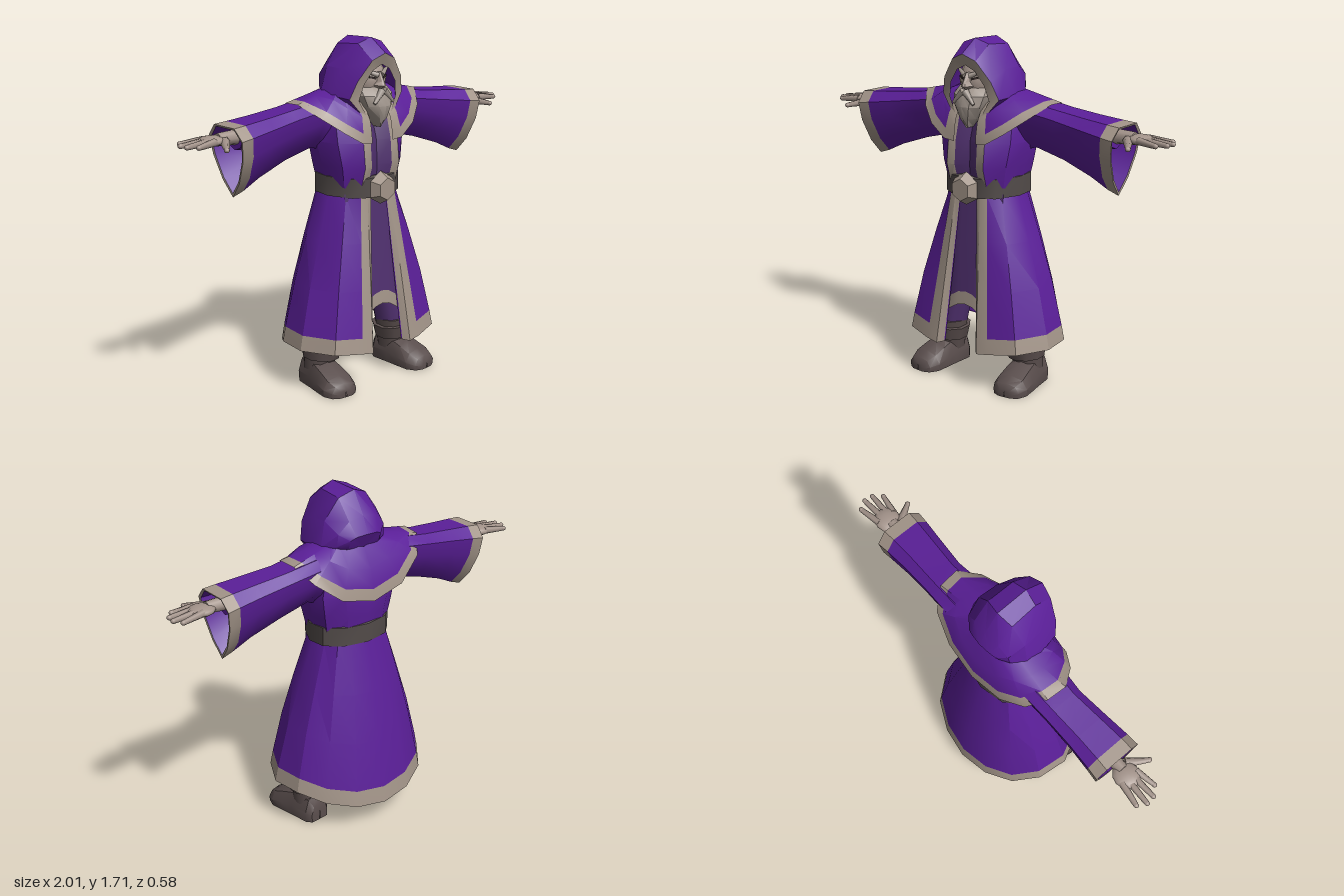
import * as THREE from 'three';
import { toCreasedNormals } from 'three/addons/utils/BufferGeometryUtils.js';

const mat = (name, color) => {
  const m = new THREE.MeshStandardMaterial({ color, side: THREE.DoubleSide });
  m.name = name;
  return m;
};

export function createModel() {
  const model = new THREE.Group();
  model.name = 'hoodedElder';
  const purple = mat('robe purple', 0x5b1f99);
  const trim = mat('trim', 0xa39589);
  const plum = mat('under robe plum', 0x50306f);
  const skin = mat('skin', 0xa4948b);
  const hair = mat('beard', 0xa2978e);
  const belt = mat('belt', 0x524b49);
  const boot = mat('boots', 0x5a4e4d);
  const dark = mat('eyes', 0x3a302e);

  const add = (parent, name, geo, material, pos) => {
    const mesh = new THREE.Mesh(geo, material);
    mesh.name = name;
    if (pos) mesh.position.set(...pos);
    parent.add(mesh);
    return mesh;
  };
  const lerp = (a, b, t) => a.map((v, i) => v + (b[i] - v) * t);
  // mirrors a half section whose last point lies on x = 0
  const full = (half) => [...half, ...half.slice(0, -1).reverse().map(([x, y, z]) => [-x, y, z])];

  // skin over cross-sections; pick(row, column) gives the material of each patch
  function loft(parent, name, rings, pick, crease = 0.6) {
    const buckets = new Map();
    const n = rings[0].length - 1;
    for (let i = 0; i < rings.length - 1; i++) for (let j = 0; j < n; j++) {
      const m = pick(i, Math.min(j, n - 1 - j));
      if (!buckets.has(m)) buckets.set(m, []);
      const a = rings[i][j], b = rings[i][j + 1], c = rings[i + 1][j + 1], d = rings[i + 1][j];
      buckets.get(m).push(...a, ...b, ...c, ...a, ...c, ...d);
    }
    const geo = new THREE.BufferGeometry(), pos = [], mats = [];
    for (const [m, list] of buckets) {
      geo.addGroup(pos.length / 3, list.length / 3, mats.length);
      mats.push(m);
      for (const v of list) pos.push(v);
    }
    geo.setAttribute('position', new THREE.Float32BufferAttribute(pos, 3));
    return add(parent, name, toCreasedNormals(geo, crease), mats);
  }
  // tapered round bar between two points
  function limb(parent, name, a, b, r1, r2, material, sides = 8) {
    const A = new THREE.Vector3(...a), B = new THREE.Vector3(...b);
    const m = add(parent, name, new THREE.CylinderGeometry(r2, r1, A.distanceTo(B), sides), material);
    m.position.copy(A).lerp(B, 0.5);
    m.quaternion.setFromUnitVectors(new THREE.Vector3(0, 1, 0), B.sub(A).normalize());
    return m;
  }
  const ball = (parent, name, p, s, material) => {
    const m = add(parent, name, new THREE.SphereGeometry(1, 12, 8), material, p);
    m.scale.set(...s);
    return m;
  };

  // long skirt, open at the front, with trimmed edge and hem
  const waist = [[.05, .96, .185], [.075, .96, .19], [.11, .96, .18], [.16, .96, .13], [.19, .96, .04],
    [.185, .96, -.04], [.15, .96, -.1], [.08, .96, -.13], [0, .96, -.14]];
  const hem = [[.10, .2, .26], [.125, .195, .29], [.19, .205, .285], [.33, .22, .24], [.41, .22, .08],
    [.39, .22, -.08], [.3, .18, -.2], [.16, .14, -.27], [0, .125, -.295]];
  const skirtRows = [0, .3, .6, .9, 1].map(t => waist.map((p, j) => {
    const q = lerp(p, hem[j], t), k = 1 + .05 * Math.sin(Math.PI * t);
    return [j > 2 ? q[0] * k : q[0], q[1], j > 2 ? q[2] * k : q[2]];
  }));
  loft(model, 'skirt', skirtRows.map(full), (i, c) => (c < 2 || i === 3 ? trim : purple), 0.5);
  loft(model, 'skirtLining', skirtRows.map(r => full(r.map(([x, y, z]) => [x * .975, y + .004, z * .97]))), () => purple);

  // under robe seen through the opening, with an arched trim
  const panel = (y0, y1, z) => full([[.17, y0, z - .035], [.1, y0 + (y1 - y0) * .3, z], [.045, y0 + (y1 - y0) * .85, z], [0, y1, z]]);
  loft(model, 'underRobe', [panel(.97, .97, .165), panel(.7, .72, .19), panel(.41, .47, .215), panel(.345, .405, .22)],
    (i) => (i === 2 ? trim : plum));

  // torso: centre panel, trimmed lapels and body
  const torso = [
    [1.0, [0, .17], [.065, .18], [.11, .185], [.17, .13], [.195, .03], [.18, -.06], [.1, -.12], [0, -.13]],
    [1.1, [0, .175], [.065, .21], [.11, .213], [.19, .14], [.215, .02], [.2, -.07], [.11, -.13], [0, -.145]],
    [1.22, [0, .17], [.065, .2], [.11, .2], [.21, .13], [.24, .01], [.22, -.08], [.13, -.14], [0, -.16]],
    [1.39, [0, .12], [.07, .15], [.11, .14], [.19, .08], [.22, 0], [.18, -.07], [.1, -.11], [0, -.12]],
  ].map(([y, ...pts]) => full(pts.map(([x, z]) => [x, y, z])));
  loft(model, 'torso', torso, (i, c) => (c === 0 ? plum : c === 1 ? trim : purple), 0.5);

  // belt and six-sided buckle
  const beltHalf = [[0, .205], [.08, .205], [.15, .165], [.207, .05], [.2, -.05], [.13, -.12], [0, -.148]];
  loft(model, 'belt', [[.9, .95], [1, .955], [1, 1.05], [.9, 1.057]].map(([s, y]) =>
    full(beltHalf.map(([x, z]) => [x * s, y + (.05 - z) * .03, z * s]))), () => belt, 0.7);
  const buckle = new THREE.CylinderGeometry(.055, .082, .05, 6).rotateX(Math.PI / 2);
  add(model, 'buckle', toCreasedNormals(buckle, 0.3), trim, [0, .99, .225]);

  // shoulder cape
  const neck = [[.065, 1.38, .165], [.1, 1.42, .15], [.13, 1.45, .1], [.14, 1.465, .06], [.15, 1.465, 0],
    [.14, 1.465, -.04], [.12, 1.46, -.07], [.07, 1.45, -.1], [0, 1.44, -.11]];
  const capeEdge = [[.065, 1.215, .212], [.125, 1.222, .215], [.22, 1.28, .195], [.31, 1.35, .135], [.378, 1.415, .04],
    [.37, 1.41, -.06], [.31, 1.33, -.14], [.18, 1.23, -.18], [0, 1.19, -.195]];
  const cape = [0, .45, .8, 1].map(t => full(neck.map((p, j) => {
    const q = lerp(p, capeEdge[j], t), lift = Math.sin(Math.PI * t);
    return [q[0], q[1] + (j > 3 && j < 6 ? 0 : .015) * lift, q[2] + (j < 4 ? .012 : j > 5 ? -.015 : 0) * lift];
  })));
  loft(model, 'shoulderCape', cape, (i, c) => (i === 2 || c === 0 ? trim : purple));

  // hood: face rim first, then back over the head
  const hood = [
    [[.08, 1.35, .185], [.118, 1.42, .175], [.1, 1.495, .19], [.052, 1.56, .2], [0, 1.585, .205]],
    [[.11, 1.36, .18], [.168, 1.43, .165], [.14, 1.515, .19], [.07, 1.61, .215], [0, 1.64, .228]],
    [[.15, 1.39, .06], [.19, 1.44, .06], [.15, 1.565, .09], [.075, 1.68, .12], [0, 1.705, .13]],
    [[.15, 1.4, -.03], [.185, 1.45, -.02], [.155, 1.57, -.01], [.08, 1.67, -.02], [0, 1.7, -.035]],
    [[.1, 1.42, -.07], [.14, 1.46, -.085], [.135, 1.52, -.09], [.08, 1.575, -.1], [0, 1.59, -.105]],
    [[.06, 1.42, -.09], [.09, 1.45, -.11], [.09, 1.49, -.125], [.06, 1.505, -.135], [0, 1.51, -.142]],
    Array(5).fill([0, 1.43, -.1]),
  ].map(full);
  loft(model, 'hood', hood, (i) => (i === 0 ? trim : purple), 0.5);

  // head and face
  const head = new THREE.Group();
  head.name = 'head';
  model.add(head);
  ball(head, 'face', [0, 1.505, .1], [.095, .11, .092], skin);
  const nose = [[1.55, .012, .195], [1.505, .016, .22], [1.485, .026, .228], [1.47, .016, .205]]
    .map(([y, w, z]) => full([[w * 1.3, y, .17], [w * .5, y, z - .005], [0, y, z]]));
  loft(head, 'nose', nose, () => skin);
  const beard = [[1.285, .008, .2], [1.33, .05, .225], [1.39, .085, .238], [1.44, .1, .225], [1.475, .09, .19], [1.5, .085, .13]]
    .map(([y, w, z]) => full([[w, y, .1], [w * .9, y, z - .045], [w * .45, y, z - .008], [0, y, z]]));
  loft(head, 'beard', beard, () => hair, 0.5);
  for (const s of [1, -1]) {
    limb(head, 'moustache', [s * .005, 1.462, .213], [s * .06, 1.405, .22], .02, .008, hair, 6);
    limb(head, 'brow', [s * .012, 1.533, .193], [s * .065, 1.556, .165], .013, .008, hair, 6);
    const eye = add(head, 'eye', new THREE.BoxGeometry(.034, .009, .008), dark, [s * .038, 1.522, .182]);
    eye.rotation.set(0, s * .4, s * .25);
  }

  // arms, built on the left and mirrored
  const sleeveShape = [[0, 0], [.5, .22], [.9, .55], [1, .82], [.6, .98], [-.6, .98], [-1, .82], [-.9, .55], [-.5, .22], [0, 0]];
  // bottom x, top x, bottom y, top y, centre z, half depth
  const sleeve = [
    [.14, .12, 1.15, 1.42, -.01, .1], [.26, .25, 1.19, 1.425, -.01, .112], [.42, .42, 1.15, 1.4, -.01, .102],
    [.58, .58, 1.095, 1.385, 0, .11], [.675, .71, 1.05, 1.375, .005, .12], [.735, .775, 1.03, 1.37, .005, .125],
    [.735, .77, 1.048, 1.36, .005, .112], [.55, .55, 1.13, 1.36, 0, .09], [.5, .5, 1.25, 1.3, 0, .004],
  ].map(([xb, xt, yb, yt, zc, zh]) => sleeveShape.map(([u, v]) => [xb + (xt - xb) * v, yb + (yt - yb) * v, zc + u * zh]));
  // boot sections: z, half width, height
  const foot = [[-.066, .002, .05], [-.065, .05, .1], [-.04, .07, .14], [.06, .076, .145], [.13, .083, .12],
    [.2, .088, .09], [.245, .068, .065], [.262, .035, .04], [.263, .002, .03]]
    .map(([z, w, h]) => full([[0, 0, z], [w, 0, z], [w * 1.05, h * .4, z], [w * .75, h * .85, z], [0, h, z]]));

  for (const s of [1, -1]) {
    const side = s > 0 ? 'left' : 'right';
    const arm = new THREE.Group();
    arm.name = side + 'Arm';
    arm.scale.x = s;
    model.add(arm);
    loft(arm, 'sleeve', sleeve, (i) => (i === 4 || i === 5 ? trim : purple));
    limb(arm, 'forearm', [.48, 1.29, 0], [.71, 1.3, 0], .065, .055, purple);
    limb(arm, 'wrist', [.69, 1.305, 0], [.81, 1.307, 0], .037, .03, skin);
    ball(arm, 'palm', [.838, 1.305, -.005], [.068, .024, .062], skin);
    [-.052, -.018, .016, .048].forEach((z, i) => {
      const tip = [.965, .99, .985, .95][i];
      limb(arm, 'finger', [.85, 1.308, z * .85], [tip, 1.3, z * 1.25], .018, .012, skin, 6);
      ball(arm, 'fingertip', [tip, 1.3, z * 1.25], [.014, .012, .012], skin);
    });
    limb(arm, 'thumb', [.79, 1.3, .03], [.85, 1.285, .125], .024, .012, skin, 6);
    ball(arm, 'thumbTip', [.85, 1.285, .125], [.013, .012, .014], skin);

    // leg and boot
    const leg = new THREE.Group();
    leg.name = side + 'Leg';
    leg.scale.x = s;
    model.add(leg);
    const shoe = loft(leg, 'foot', foot, () => boot, 0.7);
    shoe.position.x = .25;
    shoe.rotation.y = .1;
    limb(leg, 'bootShaft', [.25, .08, .025], [.24, .24, .035], .075, .09, boot, 10);
    limb(leg, 'bootCuff', [.245, .14, .035], [.24, .205, .037], .092, .104, boot, 10);
    limb(leg, 'trouserLeg', [.235, .22, .03], [.12, .75, .01], .08, .075, plum, 10);
  }
  return model;
}
